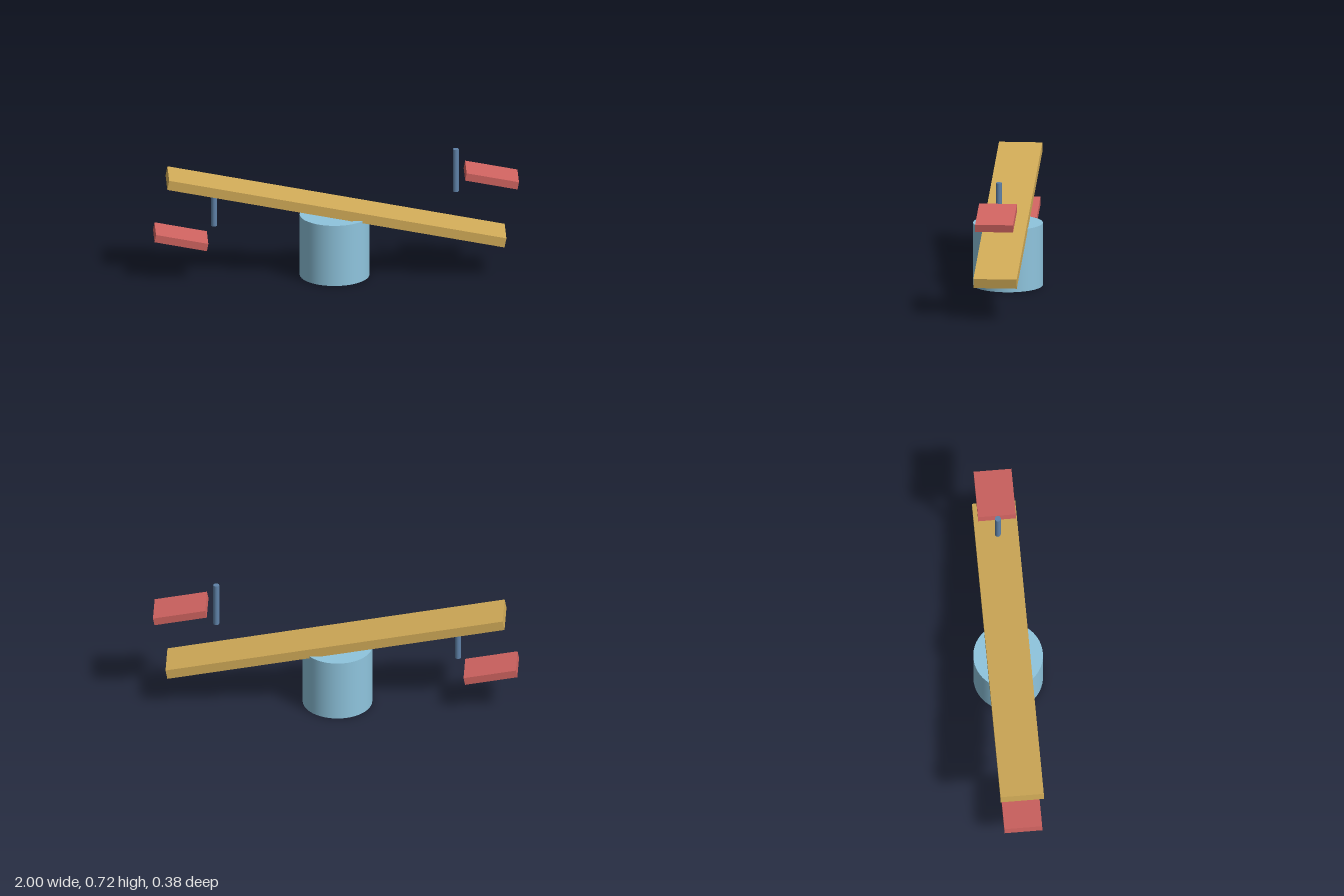
import * as THREE from 'three';

const material = (name, color) => {
  const m = new THREE.MeshStandardMaterial({ color });
  m.name = name;
  return m;
};

export function createModel() {
  const wood = material('wood', 0xd2ac58);
  const red = material('seat red', 0xd16461);
  const blue = material('base blue', 0x8fc5de);
  const steel = material('handle blue', 0x5f82a8);

  const group = new THREE.Group();
  group.name = 'seesaw';
  const tilt = -0.193;

  const add = (name, geometry, mat, x, y, angle = 0) => {
    const mesh = new THREE.Mesh(geometry, mat);
    mesh.name = name;
    mesh.position.set(x, y, 0);
    mesh.rotation.z = angle;
    group.add(mesh);
  };

  // Round pivot base and the tilted plank resting in it
  add('base', new THREE.CylinderGeometry(0.191, 0.191, 0.35, 64), blue, -0.008, 0.175);
  add('plank', new THREE.BoxGeometry(1.885, 0.054, 0.238), wood, 0, 0.3925, tilt);

  // Seats parallel to the plank, and upright handles
  const seat = new THREE.BoxGeometry(0.2925, 0.043, 0.208);
  const handle = new THREE.CylinderGeometry(0.0165, 0.0165, 0.245, 32);
  add('leftSeat', seat, red, 0.852, 0.5655, tilt);
  add('rightSeat', seat, red, -0.852, 0.231, tilt);
  add('leftHandle', handle, steel, 0.657, 0.5975);
  add('rightHandle', handle, steel, -0.669, 0.4165);

  return group;
}
